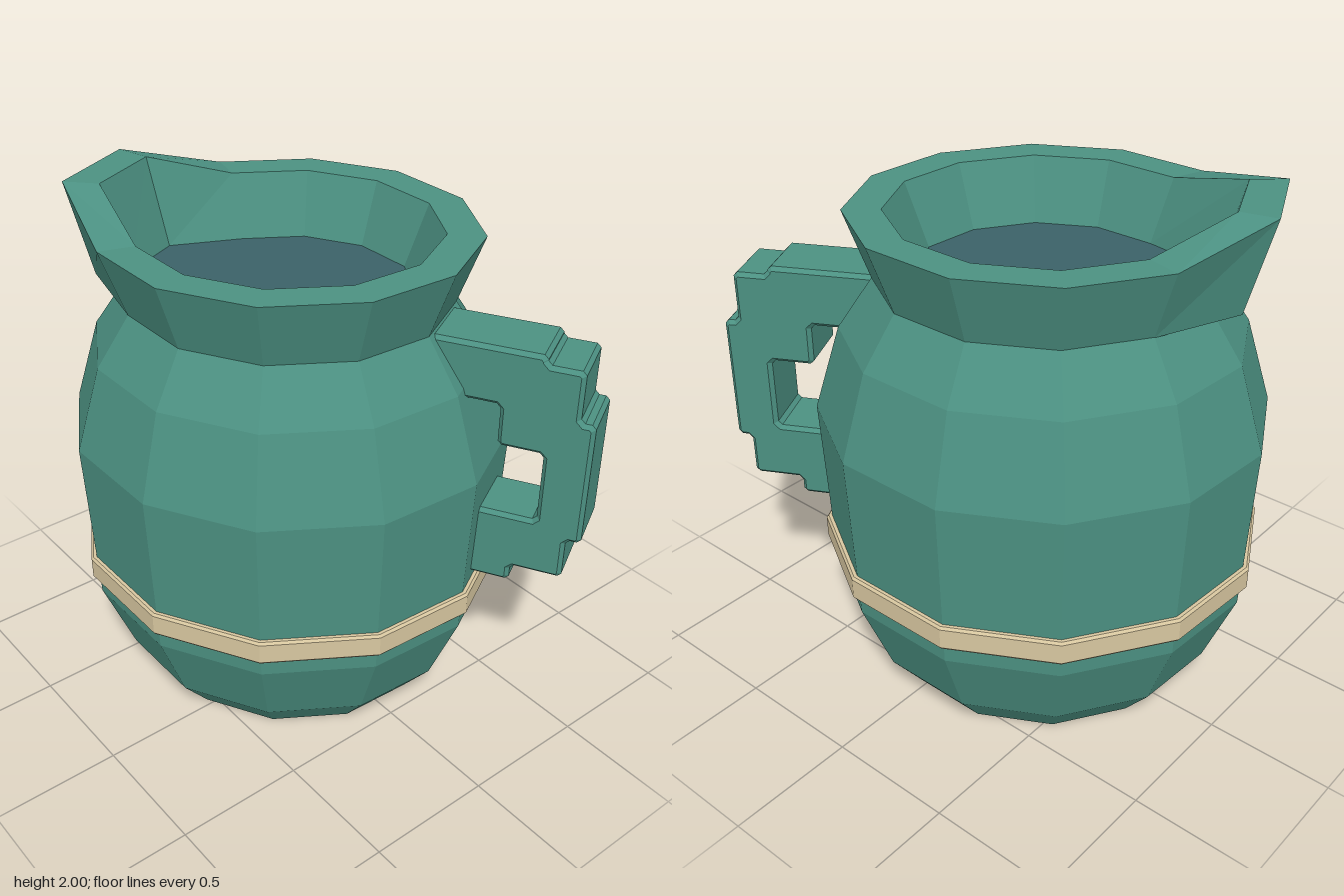
import * as THREE from 'three';

const glaze = new THREE.MeshStandardMaterial({ color: 0x4c9182 });
glaze.name = 'teal glaze';
const sand = new THREE.MeshStandardMaterial({ color: 0xd8c7a0 });
sand.name = 'sand band';
const dark = new THREE.MeshStandardMaterial({ color: 0x3b6268 });
dark.name = 'dark interior';

const CENTER_X = -0.15;

// Twelve-sided plan of the jug: half the corners, the rest are point-mirrored
const half = [[0.8, 0.21], [0.56, 0.58], [0.18, 0.79], [-0.26, 0.79], [-0.63, 0.575], [-0.825, 0.205]];
const plan = [...half, ...half.map(([x, z]) => [-x, -z])];

// Corners pulled outward to form the pouring lip
const lip = { 4: [-0.11, 0.065], 5: [-0.11, 0.03] };

// One cross-section: plan scaled, optionally with the lip pulled out and raised
function ring({ s, y, spout = 0, lift = 0 }) {
  return plan.map(([x, z], i) => {
    const pull = lip[i] || [0, 0];
    return [x * s + pull[0] * spout, y + (lip[i] ? lift : 0), z * s + pull[1] * spout];
  });
}

// Flat-faceted skin through a list of cross-sections
function loft(name, sections, material) {
  const rings = sections.map(ring);
  const pos = [];
  for (let j = 0; j < rings.length - 1; j++) {
    for (let i = 0; i < plan.length; i++) {
      const k = (i + 1) % plan.length;
      const a = rings[j][i], b = rings[j][k], c = rings[j + 1][i], d = rings[j + 1][k];
      pos.push(...a, ...c, ...b, ...b, ...c, ...d);
    }
  }
  const geo = new THREE.BufferGeometry();
  geo.setAttribute('position', new THREE.Float32BufferAttribute(pos, 3));
  geo.computeVertexNormals();
  const mesh = new THREE.Mesh(geo, material);
  mesh.name = name;
  mesh.position.x = CENTER_X;
  return mesh;
}

// Closed outline with every corner cut off
function chamferedShape(points, cut) {
  const pts = points.map(([x, y]) => new THREE.Vector2(x, y));
  const out = [];
  pts.forEach((p, i) => {
    for (const q of [pts[(i + pts.length - 1) % pts.length], pts[(i + 1) % pts.length]]) {
      out.push(q.clone().sub(p).setLength(cut).add(p));
    }
  });
  return new THREE.Shape(out);
}

function createHandle() {
  // Stepped outline: x is the distance from the jug's axis, y is height
  const outline = [
    [0.59, 1.41], [0.86, 1.41], [0.86, 1.245], [1.03, 1.245], [1.03, 0.96], [0.78, 0.96],
    [0.78, 0.66], [0.95, 0.66], [0.95, 0.73], [1.145, 0.73], [1.145, 0.9], [1.2, 0.9],
    [1.2, 1.4], [1.145, 1.4], [1.145, 1.6], [1.01, 1.6], [1.01, 1.635], [0.59, 1.635],
  ];
  const bevel = 0.015, width = 0.25;
  const geo = new THREE.ExtrudeGeometry(chamferedShape(outline, 0.015), {
    depth: width - 2 * bevel, bevelEnabled: true, bevelSegments: 1,
    bevelSize: bevel, bevelThickness: bevel, bevelOffset: -bevel,
  });
  geo.translate(0, 0, bevel - width / 2);
  const mesh = new THREE.Mesh(geo, glaze);
  mesh.name = 'handle';
  mesh.position.x = CENTER_X;
  mesh.rotation.y = THREE.MathUtils.degToRad(28.4);
  return mesh;
}

export function createModel() {
  const jug = new THREE.Group();
  jug.name = 'jug';

  // Rounded belly with a flat base
  jug.add(loft('body', [
    { s: 0, y: 0 }, { s: 0.68, y: 0 }, { s: 0.825, y: 0.15 }, { s: 0.965, y: 0.45 },
    { s: 1, y: 1.12 }, { s: 0.88, y: 1.45 }, { s: 0.72, y: 1.65 },
  ], glaze));

  // Flared neck: underside, outer wall, rim and inner wall
  jug.add(loft('neck', [
    { s: 0.64, y: 1.64 },
    { s: 0.725, y: 1.64, spout: 1 },
    { s: 0.835, y: 1.9, spout: 1, lift: 0.1 },
    { s: 0.67, y: 1.9, spout: 1, lift: 0.1 },
    { s: 0.56, y: 1.66, spout: 1 },
  ], glaze));

  // Dark surface inside the mouth
  jug.add(loft('interior', [{ s: 0.56, y: 1.66, spout: 1 }, { s: 0, y: 1.66 }], dark));

  // Raised band around the belly
  jug.add(loft('band', [
    { s: 0.94, y: 0.522 }, { s: 0.99, y: 0.522 }, { s: 1, y: 0.532 },
    { s: 1, y: 0.612 }, { s: 0.99, y: 0.622 }, { s: 0.94, y: 0.622 },
  ], sand));

  jug.add(createHandle());
  return jug;
}
